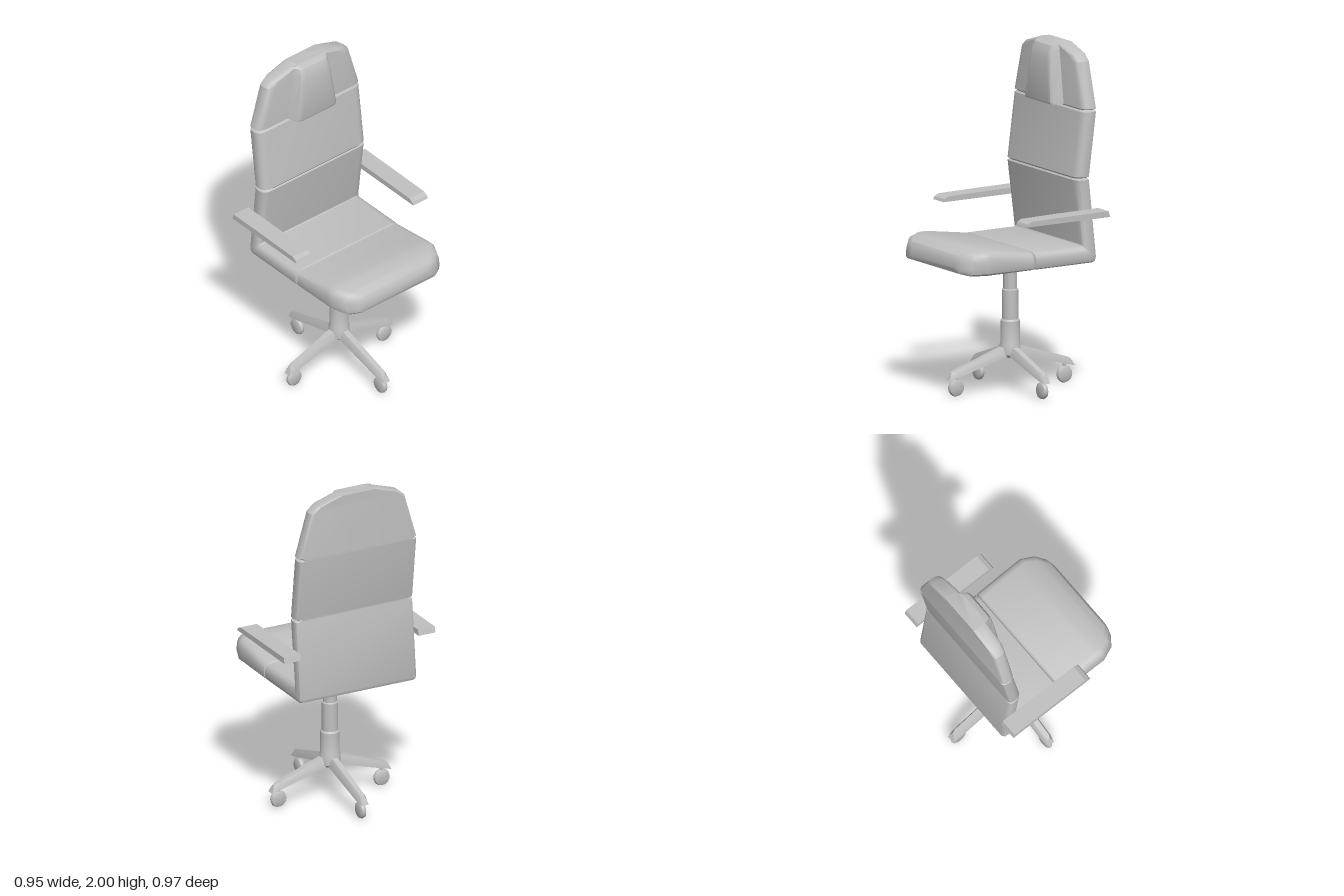
import * as THREE from 'three';
import { toCreasedNormals } from 'three/addons/utils/BufferGeometryUtils.js';

const grey = new THREE.MeshStandardMaterial({ color: 0xc0c0c0 });
grey.name = 'plain grey';

// Half cross-sections: [fraction from outer to inner side, inset from the half width]
const CUSHION = [[0, 0.02], [0.08, 0.006], [0.25, 0], [0.6, 0], [0.8, 0.008], [0.93, 0.024], [1, 0.05]];
const PILLOW = [[0, 0], [0.85, 0.025], [0.96, 0.035], [1, 0.055]];
const LEG = [[0, 0], [0.5, 0.004], [1, 0.015]];

// Loft through sections [outerX, outerY, innerX, innerY, halfWidth], mirrored in z
function loft(sections, half) {
  const ring = [
    ...half.map(([u, inset]) => [u, inset, 1]),
    ...half.slice().reverse().map(([u, inset]) => [u, inset, -1]),
  ];
  const n = ring.length;
  const pos = [];
  const idx = [];
  for (const [ox, oy, ix, iy, w] of sections) {
    for (const [u, inset, side] of ring) {
      pos.push(ox + (ix - ox) * u, oy + (iy - oy) * u, side * (w - inset));
    }
  }
  const last = (sections.length - 1) * n;
  for (let base = 0; base < last; base += n) {
    for (let j = 0; j < n; j++) {
      const a = base + j;
      const b = base + ((j + 1) % n);
      idx.push(a, b, b + n, a, b + n, a + n);
    }
  }
  for (let j = 1; j < n - 1; j++) {
    idx.push(0, j + 1, j, last, last + j, last + j + 1);
  }
  const geo = new THREE.BufferGeometry();
  geo.setAttribute('position', new THREE.Float32BufferAttribute(pos, 3));
  geo.setIndex(idx);
  return toCreasedNormals(geo, 0.55);
}

function part(name, geo, parent) {
  const mesh = new THREE.Mesh(geo, grey);
  mesh.name = name;
  parent.add(mesh);
  return mesh;
}

function lathe(points, segments) {
  const geo = new THREE.LatheGeometry(points.map(([r, y]) => new THREE.Vector2(r, y)), segments);
  return toCreasedNormals(geo, 0.6);
}

export function createModel() {
  const chair = new THREE.Group();
  chair.name = 'officeChair';

  // Seat, from its rounded nose to the seam and the rear corner, then up the back
  const W = 0.38;
  part('seatAndBackrest', loft([
    [0.475, 0.8, 0.472, 0.85, 0.24],
    [0.465, 0.775, 0.455, 0.876, 0.29],
    [0.425, 0.765, 0.41, 0.896, 0.345],
    [0.34, 0.765, 0.34, 0.905, W],
    [0.29, 0.765, 0.29, 0.903, W],
    [0.2, 0.765, 0.2, 0.89, W],
    [0.03, 0.765, 0.03, 0.865, W],
    [0.022, 0.765, 0.022, 0.857, W - 0.022],
    [0.014, 0.765, 0.014, 0.865, W],
    [-0.375, 0.765, -0.305, 0.865, W],
    [-0.393, 0.772, -0.307, 0.867, W],
    [-0.4, 0.79, -0.31, 0.872, W],
    [-0.352, 1.25, -0.262, 1.25, W],
    [-0.35, 1.259, -0.268, 1.259, W - 0.022],
    [-0.352, 1.268, -0.262, 1.268, W],
    [-0.4, 1.64, -0.31, 1.64, W],
    [-0.4, 1.649, -0.318, 1.649, W - 0.022],
    [-0.4, 1.658, -0.31, 1.658, W],
    [-0.4, 1.92, -0.31, 1.92, 0.305],
    [-0.4, 1.955, -0.31, 1.955, 0.265],
    [-0.4, 2, -0.31, 2, 0.125],
  ], CUSHION), chair);

  // Tapered head pillow on the front of the back
  part('headPillow', loft([
    [-0.32, 1.655, -0.242, 1.655, 0.168],
    [-0.32, 1.67, -0.236, 1.67, 0.166],
    [-0.32, 1.9, -0.252, 1.9, 0.135],
    [-0.32, 1.955, -0.26, 1.955, 0.127],
    [-0.32, 1.985, -0.275, 1.985, 0.123],
    [-0.32, 2, -0.305, 2, 0.12],
  ], PILLOW), chair);

  // Armrest pads
  const armProfile = new THREE.Shape([
    [-0.415, 1.045], [0.15, 1.045], [0.142, 1.062], [0.115, 1.075], [-0.1, 1.078], [-0.405, 1.08],
  ].map(([x, y]) => new THREE.Vector2(x, y)));
  const armGeo = new THREE.ExtrudeGeometry(armProfile, { depth: 0.108, bevelEnabled: false });
  part('leftArmrest', armGeo, chair).position.z = 0.379;
  part('rightArmrest', armGeo, chair).position.z = -0.487;

  // Swivel base
  const base = new THREE.Group();
  base.name = 'swivelBase';
  base.position.x = -0.055;
  chair.add(base);

  // Stepped gas column and hub
  part('column', lathe([
    [0, 0.195], [0.045, 0.195], [0.06, 0.21], [0.06, 0.268], [0.055, 0.28], [0.055, 0.405], [0.047, 0.415],
    [0.047, 0.585], [0.04, 0.59], [0.04, 0.77], [0, 0.77],
  ], 24), base);

  // Four legs with casters, slightly longer fore and aft
  const legGeo = loft([
    [0.385, 0.1, 0.365, 0.143, 0.022],
    [0.34, 0.113, 0.345, 0.153, 0.03],
    [0.03, 0.205, 0.03, 0.265, 0.032],
  ], LEG);
  const wheelGeo = lathe([
    [0, -0.017], [0.036, -0.017], [0.046, -0.012], [0.05, 0], [0.046, 0.012], [0.036, 0.017], [0, 0.017],
  ], 24);
  wheelGeo.rotateX(Math.PI / 2);
  const stemGeo = new THREE.CylinderGeometry(0.01, 0.01, 0.05, 10);
  for (let i = 0; i < 4; i++) {
    const stretch = i % 2 === 0 ? 1.1 : 1;
    const arm = new THREE.Group();
    arm.name = 'legAssembly';
    arm.rotation.y = (i * Math.PI) / 2;
    base.add(arm);
    part('leg', legGeo, arm).scale.x = stretch;
    part('caster', wheelGeo, arm).position.set(0.333 * stretch, 0.053, 0);
    part('casterStem', stemGeo, arm).position.set(0.333 * stretch, 0.1, 0);
  }
  return chair;
}
